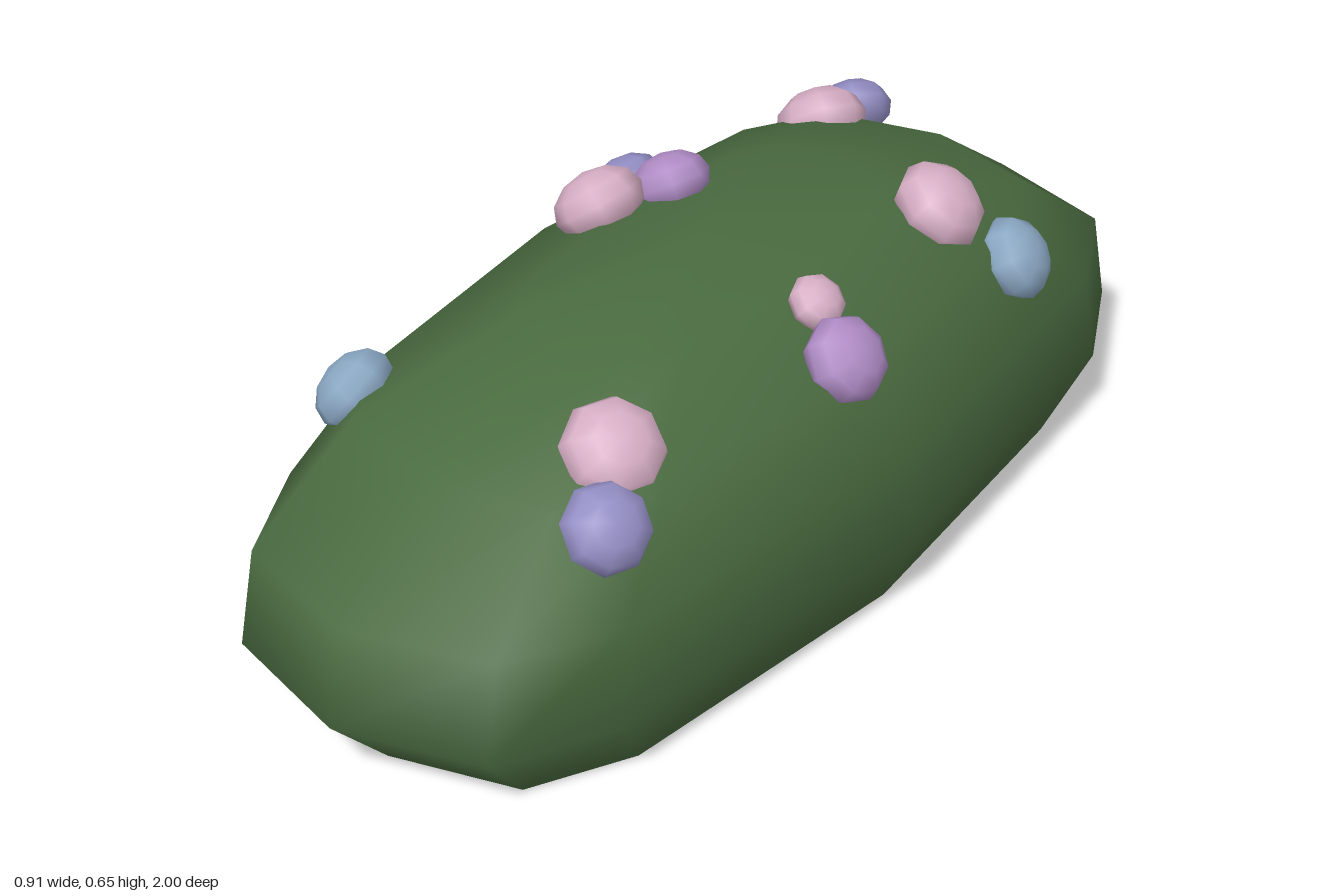
import * as THREE from 'three';

const mat = (name, color, extra = {}) => Object.assign(new THREE.MeshStandardMaterial({ color, ...extra }), { name });

// Hollow mound: stacked 12-sided rings closed by an apex, open underneath
function moundGeometry() {
  const rings = [ // y, half width, half length
    [0, 0.395, 0.87], [0.14, 0.455, 1], [0.315, 0.44, 0.965],
    [0.48, 0.37, 0.735], [0.573, 0.2, 0.4],
  ];
  const quarter = [[0, 1], [0.593, 0.922], [0.835, 0.71], [1, 0]];
  const outline = [
    ...quarter,
    ...[2, 1, 0].map(i => [quarter[i][0], -quarter[i][1]]),
    ...[1, 2, 3].map(i => [-quarter[i][0], -quarter[i][1]]),
    ...[2, 1].map(i => [-quarter[i][0], quarter[i][1]]),
  ];
  const n = outline.length, pos = [], idx = [];
  for (const [y, w, l] of rings) for (const [x, z] of outline) pos.push(x * w, y, z * l);
  pos.push(0, 0.607, 0);
  const apex = rings.length * n;
  rings.forEach((_, r) => {
    for (let i = 0; i < n; i++) {
      const a = r * n + i, b = r * n + (i + 1) % n;
      if (r < rings.length - 1) idx.push(a, b, b + n, a, b + n, a + n);
      else idx.push(a, b, apex);
    }
  });
  const g = new THREE.BufferGeometry();
  g.setAttribute('position', new THREE.Float32BufferAttribute(pos, 3));
  g.setIndex(idx);
  g.computeVertexNormals();
  return g;
}

export function createModel() {
  const model = new THREE.Group();
  model.name = 'floweringBush';
  const green = mat('leafGreen', 0x4a6b40, { side: THREE.DoubleSide });
  const pink = mat('blossomPink', 0xd8afc6);
  const purple = mat('blossomPurple', 0xb08cc6);
  const lavender = mat('blossomLavender', 0x938ec4);
  const blue = mat('blossomBlue', 0x8ba8c4);

  const bush = new THREE.Mesh(moundGeometry(), green);
  bush.name = 'bush';
  model.add(bush);

  // Blossoms: squashed low-poly balls lying along the mound's surface
  const ball = new THREE.SphereGeometry(1, 8, 6);
  const up = new THREE.Vector3(0, 1, 0);
  const blossoms = [
    [lavender, 0.28, 0.445, 0.63, 0.08],
    [pink, 0.215, 0.515, 0.53, 0.092],
    [purple, 0.345, 0.505, 0.065, 0.08],
    [pink, 0.255, 0.565, 0.025, 0.053],
    [pink, 0.22, 0.55, -0.4, 0.09],
    [blue, 0.335, 0.445, -0.48, 0.08],
    [blue, -0.3, 0.46, 0.585, 0.08],
    [pink, -0.24, 0.578, 0, 0.086],
    [purple, -0.18, 0.585, -0.13, 0.075],
    [lavender, -0.29, 0.535, -0.14, 0.075],
    [pink, -0.225, 0.468, -0.66, 0.09],
    [lavender, -0.235, 0.44, -0.78, 0.078],
  ];
  blossoms.forEach(([material, x, y, z, r], i) => {
    const m = new THREE.Mesh(ball, material);
    m.name = `blossom${i + 1}`;
    m.position.set(x, y, z);
    m.scale.set(r, r * 0.72, r);
    const normal = new THREE.Vector3(x / 0.2, y / 0.36, z).normalize();
    m.quaternion.setFromUnitVectors(up, normal);
    model.add(m);
  });
  return model;
}
